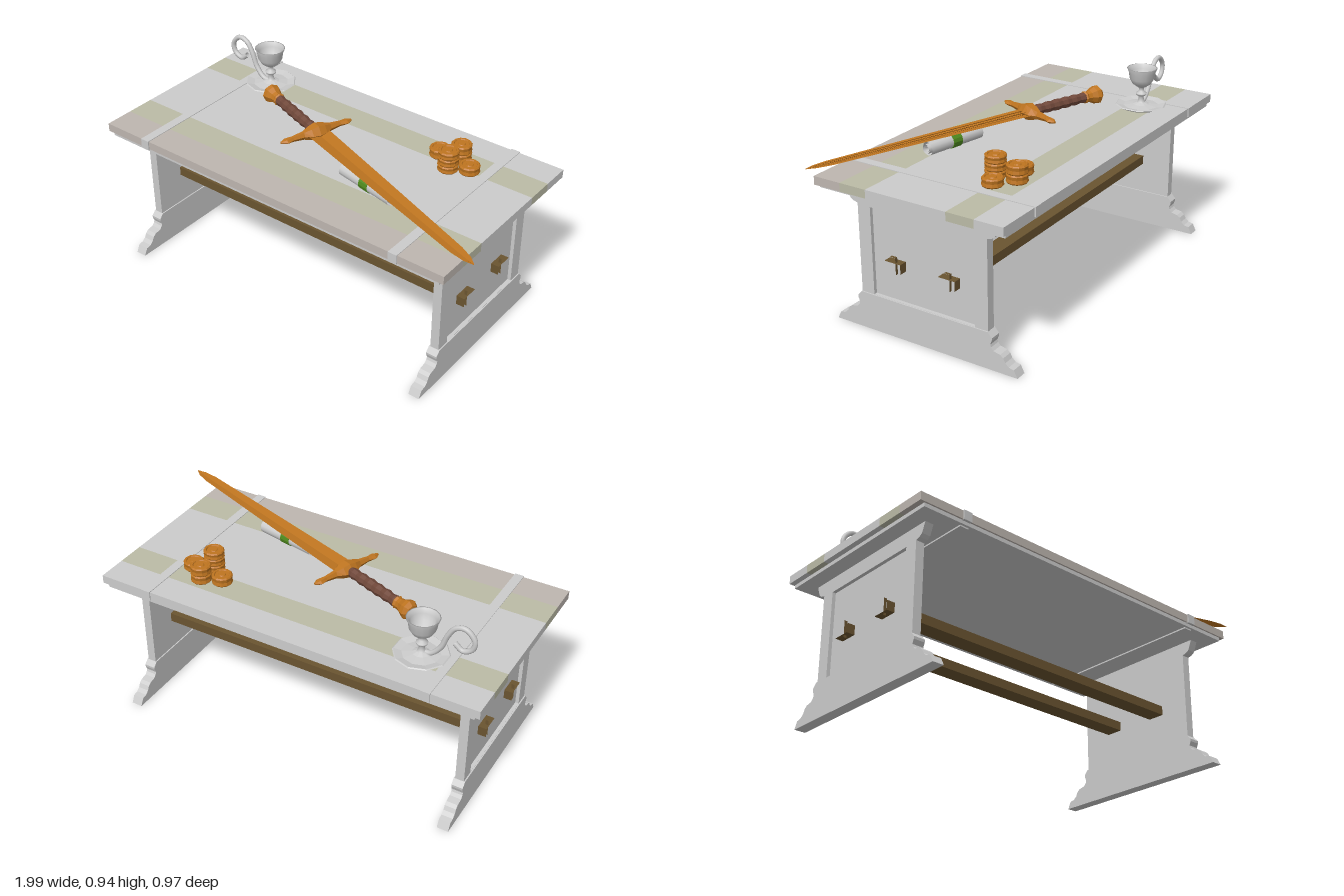
import * as THREE from 'three';

const mat = (color, flat = true, side = THREE.FrontSide) =>
  new THREE.MeshStandardMaterial({ color, flatShading: flat, side });
const GREY = mat(0xcccccc), SMOOTH = mat(0xcccccc, false, THREE.DoubleSide);
const OLIVE = mat(0xbbbba6), ROSE = mat(0xbeb6b0), WOOD = mat(0x6a5430);
const BRONZE = mat(0xbf7520), GRIP = mat(0x70483a), GREEN = mat(0x4f8a1e);

function add(parent, name, geometry, material, x = 0, y = 0, z = 0) {
  const m = new THREE.Mesh(geometry, material);
  m.name = name;
  m.position.set(x, y, z);
  parent.add(m);
  return m;
}

// box given by its min and max corners
function slab(parent, name, material, [x0, y0, z0], [x1, y1, z1]) {
  return add(parent, name, new THREE.BoxGeometry(x1 - x0, y1 - y0, z1 - z0), material,
    (x0 + x1) / 2, (y0 + y1) / 2, (z0 + z1) / 2);
}

// square tube along x with open ends
function openBar(length, height, depth) {
  return new THREE.CylinderGeometry(Math.SQRT1_2, Math.SQRT1_2, 1, 4, 1, true)
    .rotateY(Math.PI / 4).rotateZ(Math.PI / 2).scale(length, height, depth);
}

// joins rings of [y, z] points placed along x
function loft(sections) {
  const pos = [], idx = [], n = sections[0].ring.length;
  for (const { x, ring } of sections) for (const [y, z] of ring) pos.push(x, y, z);
  for (let i = 0; i < sections.length - 1; i++)
    for (let j = 0; j < n; j++) {
      const a = i * n + j, b = i * n + (j + 1) % n;
      idx.push(a, b, b + n, a, b + n, a + n);
    }
  const last = (sections.length - 1) * n;
  for (let j = 1; j < n - 1; j++) idx.push(0, j + 1, j, last, last + j, last + j + 1);
  const g = new THREE.BufferGeometry();
  g.setAttribute('position', new THREE.Float32BufferAttribute(pos, 3));
  g.setIndex(idx);
  g.computeVertexNormals();
  return g;
}

const lathe = (pts, sides) =>
  new THREE.LatheGeometry(pts.map(([r, y]) => new THREE.Vector2(r, y)), sides);

// side profile [z, y] mirrored about z = 0 and extruded along x, centred
function profile(half, thickness, hole) {
  const pts = [...half, ...half.map(([z, y]) => [-z, y]).reverse()];
  const shape = new THREE.Shape(pts.map(p => new THREE.Vector2(...p)));
  if (hole) shape.holes.push(new THREE.Path(hole.map(p => new THREE.Vector2(...p))));
  return new THREE.ExtrudeGeometry(shape, { depth: thickness, bevelEnabled: false })
    .rotateY(-Math.PI / 2).translate(thickness / 2, 0, 0);
}

function createLeg(x, turn) {
  const leg = new THREE.Group();
  leg.name = 'legPanel';
  leg.position.set(x, 0, -0.004);
  leg.rotation.y = turn;
  const foot = [[0.48, 0], [0.462, 0.035], [0.437, 0.04], [0.42, 0.055], [0.41, 0.075], [0.395, 0.087],
    [0.362, 0.094], [0.35, 0.108], [0.346, 0.12], [0.354, 0.14], [0.355, 0.152], [0.334, 0.175]];
  add(leg, 'foot', profile(foot, 0.054), GREY);
  const frame = [[0.333, 0.17], [0.333, 0.597], [0.355, 0.603], [0.371, 0.614], [0.38, 0.635], [0.39, 0.662]];
  const opening = [[-0.267, 0.176], [-0.267, 0.592], [0.267, 0.592], [0.267, 0.176]];
  add(leg, 'legFrame', profile(frame, 0.042, opening), GREY);
  slab(leg, 'recessedPanel', GREY, [-0.021, 0.17, -0.27], [0.004, 0.595, 0.27]);
  // upright key through each beam end
  for (const z of [-0.141, 0.141])
    add(leg, 'beamKey', openBar(0.014, 0.08, 0.028), WOOD, 0.032, 0.355, z);
  return leg;
}

function createTable() {
  const table = new THREE.Group();
  table.name = 'table';
  // top planks from back to front
  const planks = [[-0.48, -0.34, GREY], [-0.34, -0.205, OLIVE], [-0.205, 0.203, GREY],
    [0.203, 0.34, OLIVE], [0.34, 0.48, ROSE]];
  for (const [z0, z1, m] of planks) slab(table, 'topPlank', m, [-1, 0.68, z0], [0.89, 0.72, z1]);
  slab(table, 'underTop', GREY, [-0.975, 0.662, -0.472], [0.865, 0.681, 0.472]);
  // straps wrapped around the top
  for (const x of [-0.757, 0.643]) {
    slab(table, 'strap', GREY, [x - 0.022, 0.678, -0.485], [x + 0.022, 0.723, 0.485]);
    slab(table, 'strapUnderside', GREY, [x - 0.022, 0.655, -0.46], [x + 0.022, 0.68, 0.46]);
  }
  table.add(createLeg(0.773, 0), createLeg(-0.881, Math.PI));
  for (const z of [0.137, -0.145])
    add(table, 'stretcherBeam', openBar(1.741, 0.045, 0.085), WOOD, -0.054, 0.349, z);
  return table;
}

function createCandleHolder() {
  const holder = new THREE.Group();
  holder.name = 'candleHolder';
  holder.position.set(-0.635, 0.72, -0.275);
  add(holder, 'dish', lathe([[0, 0.002], [0.09, 0.002], [0.125, 0.018], [0.12, 0.022], [0.085, 0.014],
    [0.04, 0.02], [0.015, 0.03], [0, 0.03]], 10), mat(0xcccccc, true, THREE.DoubleSide));
  add(holder, 'stem', lathe([[0.035, 0.02], [0.016, 0.03], [0.012, 0.055], [0.025, 0.066], [0.027, 0.074],
    [0.012, 0.085], [0.012, 0.1], [0.022, 0.108]], 12), SMOOTH);
  add(holder, 'cup', lathe([[0, 0.1], [0.022, 0.106], [0.045, 0.123], [0.06, 0.148], [0.064, 0.178],
    [0.074, 0.2], [0.068, 0.2], [0.057, 0.178], [0.05, 0.15], [0.03, 0.13], [0, 0.125]], 16), SMOOTH);
  const path = [[-0.145, 0.118], [-0.182, 0.092], [-0.222, 0.112], [-0.232, 0.158], [-0.19, 0.203],
    [-0.145, 0.193], [-0.112, 0.145], [-0.085, 0.075], [-0.043, 0.028], [-0.01, 0.02]];
  const curve = new THREE.CatmullRomCurve3(path.map(([x, y]) => new THREE.Vector3(x, y, 0.006)));
  add(holder, 'scrollHandle', new THREE.TubeGeometry(curve, 48, 0.012, 8), SMOOTH);
  return holder;
}

function createSword() {
  const sword = new THREE.Group();
  sword.name = 'sword';
  sword.position.set(-0.104, 0.797, 0.032);
  sword.rotation.y = -0.347;
  // blade: [distance, half width, half thickness], with a groove on each side of the ridge
  const blade = [[0.02, 0.054, 0.011], [0.5, 0.044, 0.009], [1.05, 0.03, 0.006], [1.12, 0.02, 0.004], [1.163, 0.002, 0.001]];
  add(sword, 'blade', loft(blade.map(([x, w, t]) => {
    const up = [[t, 0.45], [t * 0.3, 0.25], [t, 0.06], [t, -0.06], [t * 0.3, -0.25], [t, -0.45]];
    const down = up.map(([y, k]) => [-y, k]).reverse();
    return { x, ring: [[0, w], ...down, [0, -w], ...up.slice().reverse()]
      .map(([y, k], i) => (i === 0 || i === 7 ? [y, k] : [y, k * w])).reverse() };
  })), BRONZE);
  // cross guard: [distance, half width, half height], mirrored
  const arm = [[0, 0.045, 0.036], [0.035, 0.038, 0.028], [0.07, 0.018, 0.018], [0.125, 0.013, 0.012],
    [0.16, 0.022, 0.01], [0.187, 0.006, 0.005]];
  const full = [...arm.slice(1).reverse().map(([d, w, h]) => [-d, w, h]), ...arm];
  add(sword, 'crossGuard', loft(full.map(([x, w, h]) => ({ x,
    ring: [[h, -w * 0.45], [h, w * 0.45], [0, w], [-h, w * 0.45], [-h, -w * 0.45], [0, -w]] }))), BRONZE)
    .rotation.y = Math.PI / 2;
  // wrapped grip with ridges
  const wrap = [];
  for (let i = 0; i <= 12; i++) wrap.push([(i % 2 ? 0.026 : 0.021) + 0.003 * Math.sin(i / 12 * Math.PI), -0.35 + i * 0.027]);
  add(sword, 'grip', lathe(wrap, 8), GRIP).rotation.z = -Math.PI / 2;
  add(sword, 'pommel', lathe([[0, -0.432], [0.03, -0.428], [0.046, -0.41], [0.042, -0.39], [0.03, -0.365],
    [0.026, -0.345], [0.031, -0.335], [0.022, -0.325]], 8), BRONZE).rotation.z = -Math.PI / 2;
  return sword;
}

function createScroll() {
  const scroll = new THREE.Group();
  scroll.name = 'rolledScroll';
  scroll.position.set(0.295, 0.754, 0.18);
  scroll.rotation.y = -0.2;
  const tube = (r, length, open) =>
    new THREE.CylinderGeometry(r, r, length, 12, 1, open).rotateZ(Math.PI / 2);
  const paper = mat(0xcccccc, false, THREE.DoubleSide);
  add(scroll, 'outerRoll', tube(0.031, 0.31, true), paper);
  add(scroll, 'middleRoll', tube(0.022, 0.325, true), paper, 0.002);
  add(scroll, 'innerRoll', tube(0.012, 0.32, true), paper, -0.002);
  add(scroll, 'ribbon', tube(0.034, 0.052, false), GREEN);
  return scroll;
}

function createCoins() {
  const coins = new THREE.Group();
  coins.name = 'coinStacks';
  // x, z, number of coins, coin thickness
  for (const [x, z, count, h] of [[0.387, -0.246, 1, 0.045], [0.48, -0.278, 2, 0.042],
    [0.48, -0.17, 3, 0.035], [0.566, -0.212, 1, 0.041]]) {
    const coin = lathe([[0, 0], [0.044, 0], [0.049, 0.006], [0.046, h * 0.5], [0.049, h - 0.006],
      [0.044, h], [0.036, h], [0.033, h - 0.005], [0.018, h - 0.005], [0.015, h - 0.001], [0, h - 0.001]], 12);
    for (let i = 0; i < count; i++)
      add(coins, 'coin', coin, BRONZE, x, 0.72 + i * h, z).rotation.y = i * 0.2;
  }
  return coins;
}

export function createModel() {
  const model = new THREE.Group();
  model.name = 'tableWithSword';
  model.add(createTable(), createCandleHolder(), createSword(), createScroll(), createCoins());
  return model;
}
